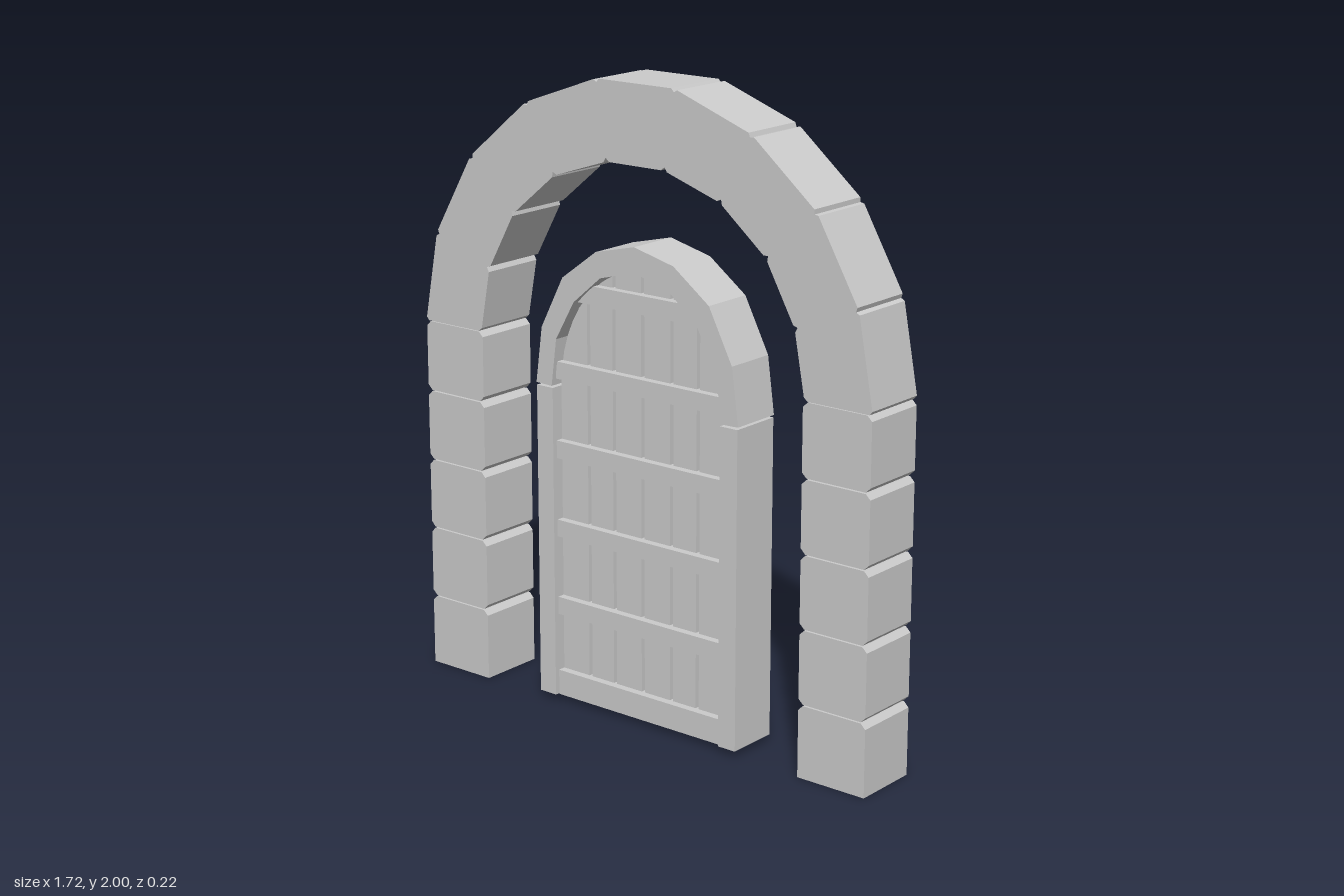
import * as THREE from 'three';

const material = new THREE.MeshStandardMaterial({ color: 0xcccccc, flatShading: true, side: THREE.DoubleSide });

function addMesh(parent, geometry, name) {
  const mesh = new THREE.Mesh(geometry, material);
  mesh.name = name;
  parent.add(mesh);
  return mesh;
}

// Replace each corner of a convex outline by a small cut
function cutCorners(points, cut, keep = []) {
  const out = [];
  points.forEach((p, i) => {
    if (keep.includes(i)) return out.push(p);
    const n = points.length;
    for (const q of [points[(i + n - 1) % n], points[(i + 1) % n]]) {
      const t = cut / Math.hypot(q[0] - p[0], q[1] - p[1]);
      out.push([p[0] + (q[0] - p[0]) * t, p[1] + (q[1] - p[1]) * t]);
    }
  });
  return out;
}

// Hollow block, open at the back: front face plus a wall along every outline edge
// (counter-clockwise outline); openEdge leaves one wall out
function shell(points, back, front, openEdge = -1) {
  const pos = [], n = points.length;
  const put = (p, z) => pos.push(p[0], p[1], z);
  for (let i = 1; i < n - 1; i++) [points[0], points[i], points[i + 1]].forEach(p => put(p, front));
  for (let i = 0; i < n; i++) {
    if (i === openEdge) continue;
    const a = points[i], b = points[(i + 1) % n];
    put(a, back); put(b, back); put(b, front);
    put(a, back); put(b, front); put(a, front);
  }
  const geometry = new THREE.BufferGeometry();
  geometry.setAttribute('position', new THREE.Float32BufferAttribute(pos, 3));
  geometry.computeVertexNormals();
  return geometry;
}

const mirror = points => points.map(([x, y]) => [-x, y]).reverse();

function extrude(points, back, front) {
  const shape = new THREE.Shape(points.map(p => new THREE.Vector2(...p)));
  return new THREE.ExtrudeGeometry(shape, { depth: front - back, bevelEnabled: false }).translate(0, 0, back);
}

function box(parent, name, x0, x1, y0, y1, z0, z1) {
  const mesh = addMesh(parent, new THREE.BoxGeometry(x1 - x0, y1 - y0, z1 - z0), name);
  mesh.position.set((x0 + x1) / 2, (y0 + y1) / 2, (z0 + z1) / 2);
}

// Outer gateway: two columns of blocks and an arch of nine stones
function stoneArch() {
  const group = new THREE.Group();
  group.name = 'stoneArch';
  const D = 0.11;
  const levels = [0, 0.232, 0.467, 0.697, 0.927, 1.157];
  for (let i = 0; i < 5; i++) {
    const y0 = levels[i] + (i ? 0.002 : 0), y1 = levels[i + 1] - 0.002;
    const block = [[0.62, y0], [0.86, y0], [0.86, y1], [0.62, y1]];
    const outline = cutCorners(block, 0.016, i ? [] : [0, 1]);
    addMesh(group, shell(outline, -D, D, i ? -1 : 0), 'leftColumnStone');
    addMesh(group, shell(mirror(outline), -D, D, i ? -1 : outline.length - 2), 'rightColumnStone');
  }
  // Joints as [inner, outer], from springing to keystone
  const joints = [
    [[0.625, 1.157], [0.862, 1.157]],
    [[0.587, 1.363], [0.808, 1.448]],
    [[0.482, 1.552], [0.658, 1.708]],
    [[0.315, 1.69], [0.427, 1.9]],
    [[0.11, 1.757], [0.148, 2.0]],
  ];
  for (let i = 0; i < 4; i++) {
    const [a, b] = [joints[i], joints[i + 1]];
    const outline = cutCorners([a[0], a[1], b[1], b[0]], 0.011);
    addMesh(group, shell(outline, -D, D), 'leftArchStone');
    addMesh(group, shell(mirror(outline), -D, D), 'rightArchStone');
  }
  const key = [[-0.11, 1.757], [0.11, 1.757], [0.148, 2], [-0.148, 2]];
  addMesh(group, shell(cutCorners(key, 0.011), -D, D), 'keystone');
  return group;
}

// Door frame: jambs and eight hollow arch segments
function doorFrame() {
  const group = new THREE.Group();
  group.name = 'doorFrame';
  const back = -0.058, front = 0.115;
  const jamb = [[0.326, 0.02], [0.39, 0.02], [0.39, 1.028], [0.326, 1.028]];
  addMesh(group, shell(jamb, back, front), 'leftJamb');
  addMesh(group, shell(mirror(jamb), back, front), 'rightJamb');
  const joints = [
    [[0.33, 1.034], [0.392, 1.036]],
    [[0.31, 1.185], [0.368, 1.215]],
    [[0.238, 1.312], [0.282, 1.382]],
    [[0.132, 1.402], [0.149, 1.48]],
    [[0, 1.438], [0, 1.516]],
  ];
  for (let i = 0; i < 4; i++) {
    const [a, b] = [joints[i], joints[i + 1]];
    const outline = [a[0], a[1], b[1], b[0]];
    addMesh(group, shell(outline, back, front), 'leftFrameArch');
    addMesh(group, shell(mirror(outline), back, front), 'rightFrameArch');
  }
  return group;
}

// Door leaf: arched panel, vertical planks and cross rails
function door() {
  const group = new THREE.Group();
  group.name = 'door';
  const W = 0.325, bottom = 0.022;
  const topAt = x => 1.03 + 0.4 * Math.sqrt(Math.max(0, 1 - (x / W) ** 2));

  // Arched outline between two x positions
  const slab = (x0, x1, steps) => {
    const points = [[x0, bottom], [x1, bottom]];
    for (let i = 0; i <= steps; i++) {
      const t = i / steps;
      // even angular steps keep the arch round near its ends
      const a0 = Math.acos(x1 / W), a1 = Math.acos(x0 / W);
      const x = W * Math.cos(a0 + (a1 - a0) * t);
      points.push([x, topAt(x)]);
    }
    return points;
  };
  addMesh(group, extrude(slab(-W, W, 24), -0.055, 0.05), 'backPanel');

  const edges = [-W, -0.213, -0.112, 0, 0.112, 0.213, W];
  for (let i = 0; i < 6; i++) {
    const x0 = edges[i] + (i ? 0.006 : 0), x1 = edges[i + 1] - (i < 5 ? 0.006 : 0);
    addMesh(group, extrude(slab(x0, x1, 6), 0.05, 0.075), 'plank');
  }
  // Rails as [bottom, top, half width]
  const rails = [[0.024, 0.1, W], [0.288, 0.345, W], [0.545, 0.6, W], [0.8, 0.857, W], [1.055, 1.11, W], [1.31, 1.368, 0.235]];
  for (const [y0, y1, w] of rails) {
    const inset = y0 > 1.2 ? 0.06 : 0;
    addMesh(group, extrude([[-w, y0], [w, y0], [w - inset, y1], [-w + inset, y1]], 0.05, 0.1), 'crossRail');
  }
  // Threshold closing the foot of the door
  box(group, 'threshold', -W, W, 0.018, 0.024, -0.055, 0.1);
  return group;
}

export function createModel() {
  const model = new THREE.Group();
  model.name = 'archedDoorway';
  model.add(stoneArch(), doorFrame(), door());
  return model;
}
